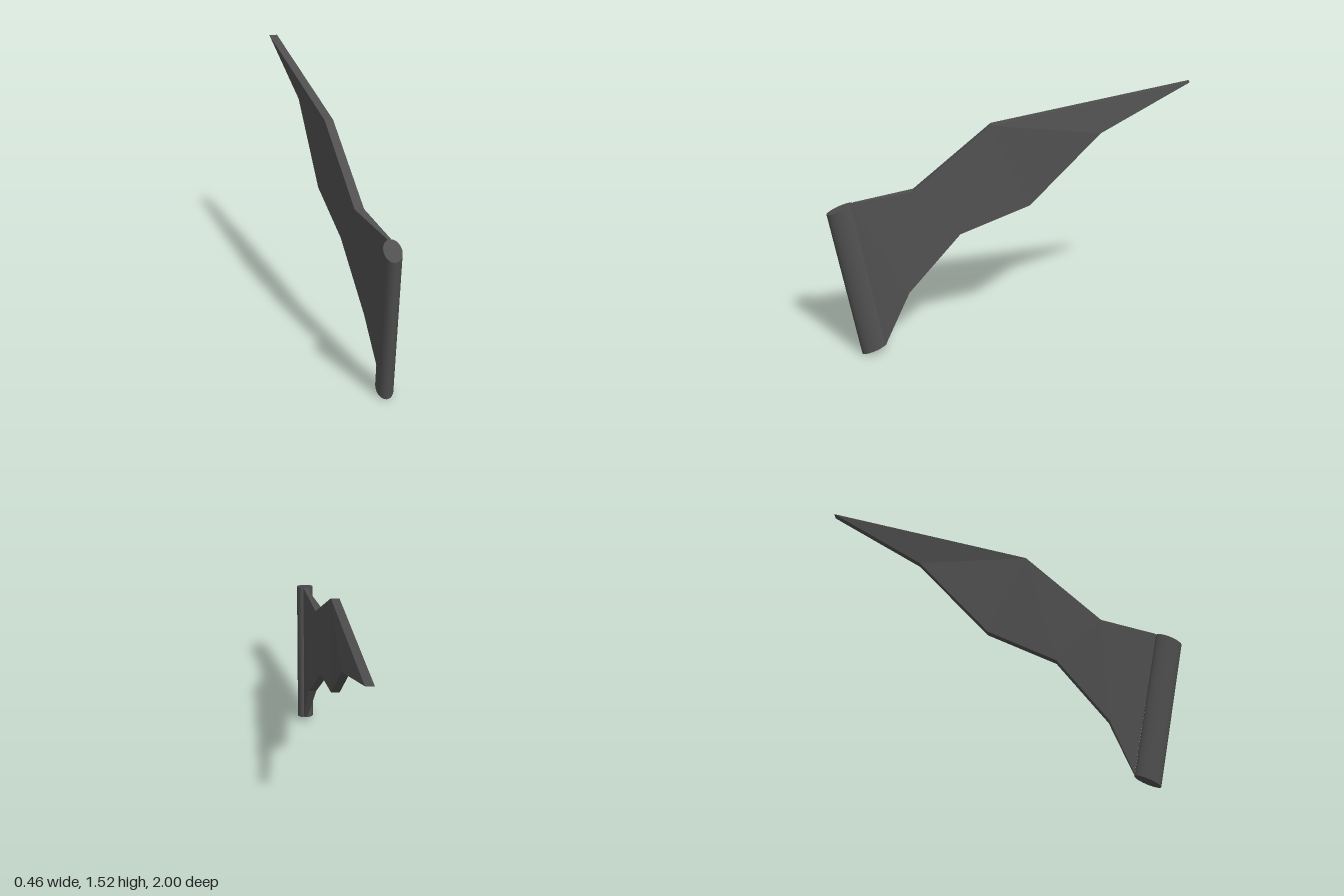
import * as THREE from 'three';

const darkGrey = new THREE.MeshStandardMaterial({ color: 0x505050 });
darkGrey.name = 'dark grey';

// Blade outline, counter-clockwise seen from +x: [z, y, left-hand x, right-hand x]
const OUTLINE = [
  [0.695, 0.07, 0.16, 0.183],
  [0.56, 0.37, 0.1, 0.147],
  [0.27, 0.7, 0.017, 0.065],
  [-0.12, 0.85, -0.053, -0.005],
  [-0.51, 1.26, -0.113, -0.066],
  [-1.0, 1.52, -0.23, -0.183],
  [0.1, 1.325, -0.047, 0.0],
  [0.53, 0.97, 0.05, 0.1],
  [0.855, 0.932, 0.163, 0.183],
];
// Facets of the gently curved side, as outline indices
const FACETS = [[0, 1, 8], [1, 7, 8], [1, 2, 7], [2, 6, 7], [2, 3, 6], [3, 4, 6], [4, 5, 6]];

function bladeGeometry() {
  const inner = OUTLINE.map(([z, y, x]) => [x, y, z]);
  const outer = OUTLINE.map(([z, y, , x]) => [x, y, z]);
  const positions = [];
  const triangle = (a, b, c) => positions.push(...a, ...b, ...c);

  // Both broad sides
  for (const [a, b, c] of FACETS) {
    triangle(outer[a], outer[b], outer[c]);
    triangle(inner[a], inner[c], inner[b]);
  }
  // Rim between them
  for (let i = 0; i < OUTLINE.length; i++) {
    const j = (i + 1) % OUTLINE.length;
    triangle(outer[i], inner[i], inner[j]);
    triangle(outer[i], inner[j], outer[j]);
  }
  const geometry = new THREE.BufferGeometry();
  geometry.setAttribute('position', new THREE.Float32BufferAttribute(positions, 3));
  geometry.computeVertexNormals();
  return geometry;
}

// Leaning oval rod with slanted ends
function rodGeometry() {
  const geometry = new THREE.CylinderGeometry(1, 1, 1, 32);
  const lean = new THREE.Matrix4().makeBasis(
    new THREE.Vector3(0.048, 0, 0),
    new THREE.Vector3(0, 0.867, 0.16),
    new THREE.Vector3(0, -0.0325, 0.0725),
  );
  lean.setPosition(0.178, 0.466, 0.8475);
  return geometry.applyMatrix4(lean);
}

export function createModel() {
  const group = new THREE.Group();
  group.name = 'bladeOnRod';

  const rod = new THREE.Mesh(rodGeometry(), darkGrey);
  rod.name = 'rod';
  const blade = new THREE.Mesh(bladeGeometry(), darkGrey);
  blade.name = 'blade';

  group.add(rod, blade);
  return group;
}
